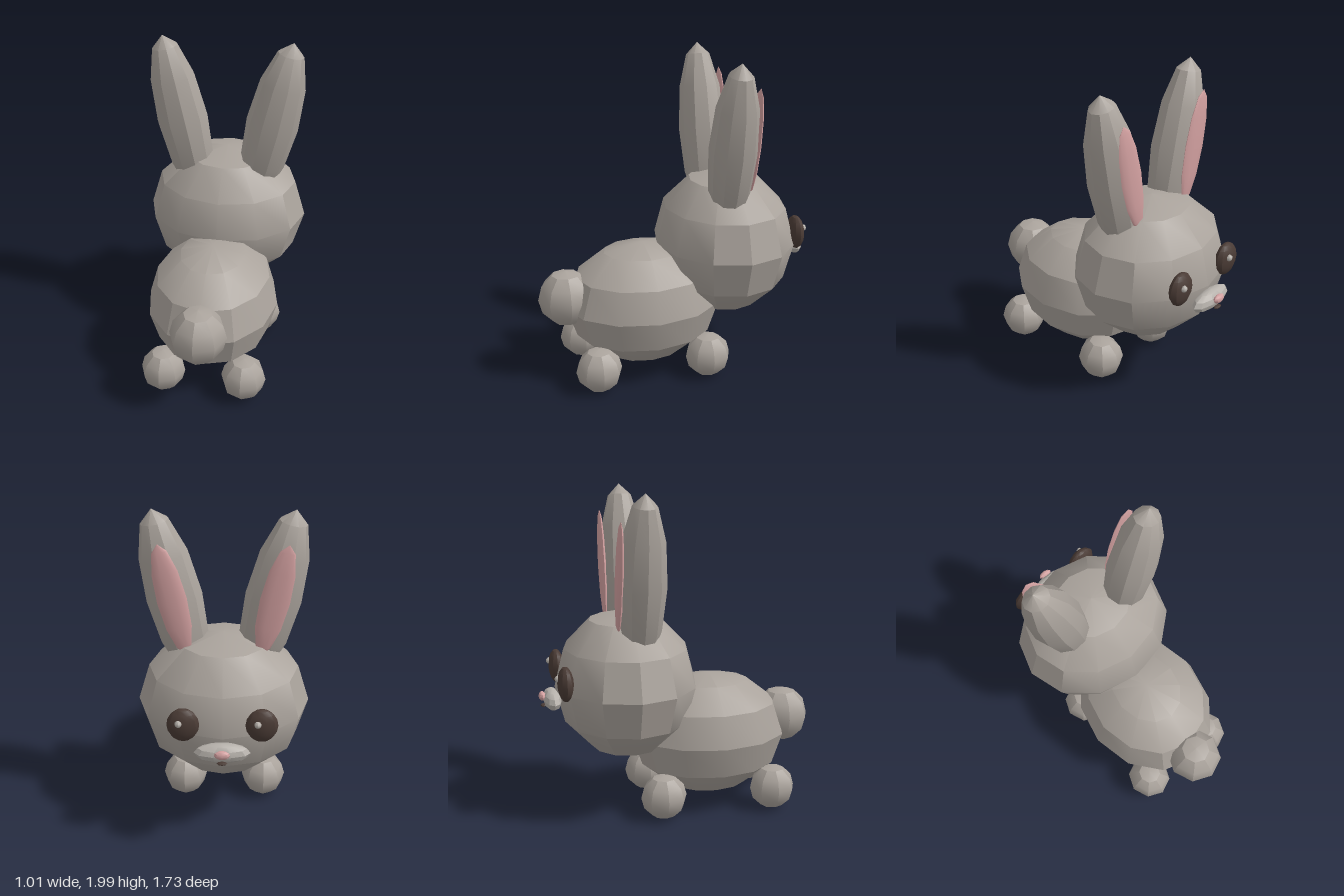
import * as THREE from 'three';
import { toCreasedNormals } from 'three/addons/utils/BufferGeometryUtils.js';

export function createModel() {
  const mat = (name, color) => {
    const m = new THREE.MeshStandardMaterial({ color });
    m.name = name;
    return m;
  };
  const fur = mat('grey fur', 0xaaa39c);
  const pale = mat('pale grey', 0xb6b1ab);
  const pink = mat('pink skin', 0xd2a0a0);
  const dark = mat('dark brown', 0x4a3b35);

  const rabbit = new THREE.Group();
  rabbit.name = 'rabbit';

  // Low-poly ellipsoid with baked radii, so its creases follow the final shape
  function blob(name, material, center, radii, sides = 8, rows = 6, tilt = 0) {
    const sphere = new THREE.SphereGeometry(1, sides, rows).scale(...radii);
    const mesh = new THREE.Mesh(toCreasedNormals(sphere, Math.PI / 6), material);
    mesh.name = name;
    mesh.position.set(...center);
    mesh.rotation.z = tilt;
    rabbit.add(mesh);
    return mesh;
  }

  // Body, head and tail (the face looks toward -z)
  blob('body', fur, [0, 0.466, 0.2], [0.405, 0.387, 0.495], 12);
  blob('head', fur, [0, 0.823, -0.33], [0.505, 0.457, 0.438], 12);
  blob('tail', fur, [0, 0.54, 0.69], [0.172, 0.175, 0.175], 8);

  for (const side of [1, -1]) {
    const label = side > 0 ? 'left' : 'right';

    // Ears lean outward, with a flat lining on the face side
    const lean = -side * 0.213;
    blob(label + 'Ear', fur, [side * 0.283, 1.468, -0.28], [0.163, 0.544, 0.145], 10, 6, lean);
    blob(label + 'InnerEar', pink, [side * 0.287, 1.508, -0.413], [0.085, 0.345, 0.023], 10, 6, lean);

    // Feet
    blob(label + 'FrontFoot', fur, [side * 0.25, 0.147, -0.148], [0.137, 0.138, 0.143]);
    blob(label + 'BackFoot', fur, [side * 0.25, 0.147, 0.55], [0.137, 0.138, 0.143]);

    // Eyes, both glints shifted to the same side
    blob(label + 'Eye', dark, [side * 0.221, 0.893, -0.728], [0.092, 0.105, 0.048], 10, 8);
    blob(label + 'EyeGlint', pale, [side * 0.221 + 0.023, 0.922, -0.768], [0.021, 0.021, 0.021]);
  }

  // Muzzle, nose and mouth
  blob('muzzle', pale, [0, 0.745, -0.784], [0.16, 0.06, 0.055], 10);
  blob('nose', pink, [0, 0.768, -0.844], [0.045, 0.027, 0.022], 8);
  blob('mouth', dark, [0, 0.709, -0.838], [0.03, 0.009, 0.017], 8);

  return rabbit;
}
